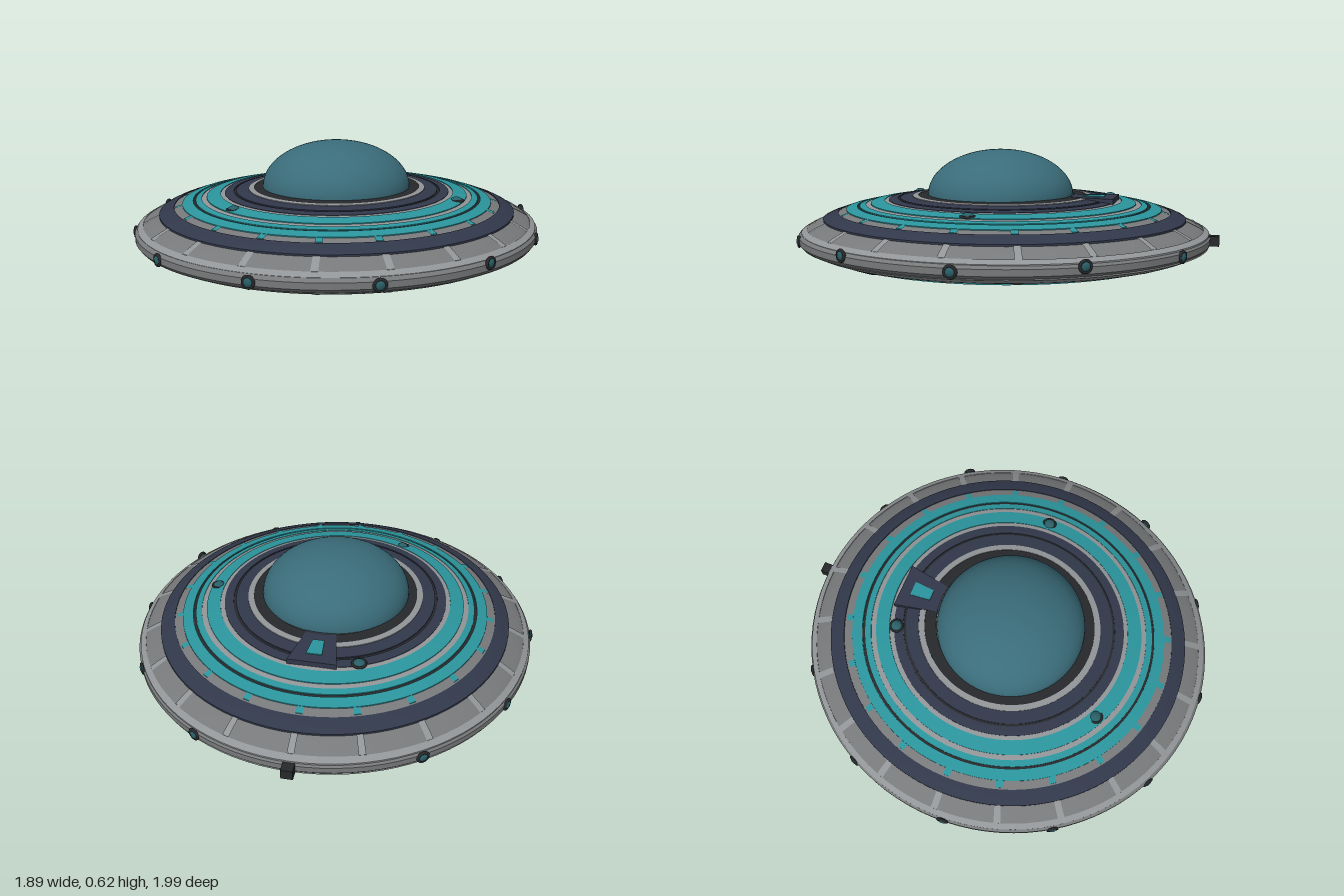
import * as THREE from 'three';
import { toCreasedNormals } from 'three/addons/utils/BufferGeometryUtils.js';

const COLORS = {
  grey: 0x77797a, light: 0x929597, dark: 0x26282b, black: 0x070707, navy: 0x31384a,
  teal: 0x2b959d, dome: 0x3a6c7a, lens: 0x34698c, bead: 0x2a5f68,
};
const STRETCH = 1.037; // the hull is slightly longer than wide
const TAU = Math.PI * 2;

// Hull profile as [radius, height], upper and lower skins
const TOP = [[0.33, 0.397], [0.4, 0.39], [0.52, 0.377], [0.62, 0.36], [0.72, 0.337], [0.8, 0.31], [0.875, 0.274], [0.925, 0.245]];
const BOTTOM = [[0.2, 0.066], [0.44, 0.086], [0.65, 0.115], [0.8, 0.147], [0.875, 0.168], [0.925, 0.192]];

function heightAt(profile, r) {
  for (let i = 1; i < profile.length; i++) {
    const [r0, y0] = profile[i - 1], [r1, y1] = profile[i];
    if (r <= r1) return y0 + (y1 - y0) * (r - r0) / (r1 - r0);
  }
  return profile[profile.length - 1][1];
}

export function createModel() {
  const model = new THREE.Group();
  model.name = 'saucer';
  const mats = {};
  for (const [key, color] of Object.entries(COLORS)) {
    mats[key] = new THREE.MeshStandardMaterial({ color, side: THREE.DoubleSide });
  }

  function add(name, geo, mat, x = 0, y = 0, z = 0) {
    const mesh = new THREE.Mesh(geo, mats[mat]);
    mesh.name = name;
    mesh.position.set(x, y, z);
    model.add(mesh);
    return mesh;
  }

  function lathe(name, pts, mat, z = 0.018, start = 0, length = TAU) {
    const segs = Math.max(2, Math.round(96 * length / TAU));
    const geo = new THREE.LatheGeometry(pts.map(p => new THREE.Vector2(...p)), segs, start, length);
    geo.scale(1, 1, STRETCH);
    return add(name, toCreasedNormals(geo, 0.5), mat, 0, 0, z);
  }

  // Raised plate lying on the upper (side 1) or lower (side -1) skin
  function band(name, side, r0, r1, mat, lift = 0.005, start = 0, length = TAU) {
    const profile = side > 0 ? TOP : BOTTOM;
    const pts = [];
    const sink = 0.012;
    for (let i = 0; i <= 3; i++) {
      const r = r0 + (r1 - r0) * i / 3;
      pts.push([r, heightAt(profile, r) + side * lift]);
    }
    pts.unshift([r0, heightAt(profile, r0) - side * sink]);
    pts.push([r1, heightAt(profile, r1) - side * sink]);
    if (side > 0) pts.reverse();
    return lathe(name, pts, mat, 0.035 - 0.022 * r1, start, length);
  }

  function spokes(name, side, r0, r1, mat, lift, count, width) {
    const w = width / r1;
    for (let i = 0; i < count; i++) {
      band(name, side, r0, r1, mat, lift, i * TAU / count - w / 2, w);
    }
  }

  // Hull body with rounded rim
  lathe('hull', [[0, 0.066], ...BOTTOM, [0.935, 0.205], [0.935, 0.232],
    ...[...TOP].reverse(), [0, 0.397]], 'grey');

  // Upper rings, from the rim inward: inner radius, outer radius, material, lift
  [
    [0.9, 0.925, 'light', 0.003], [0.76, 0.827, 'navy', 0.008], [0.722, 0.76, 'grey', 0.004],
    [0.673, 0.722, 'teal', 0.008], [0.661, 0.673, 'dark', 0.003], [0.633, 0.661, 'teal', 0.007],
    [0.61, 0.633, 'light', 0.004], [0.546, 0.61, 'teal', 0.008], [0.526, 0.546, 'light', 0.005],
    [0.484, 0.526, 'navy', 0.007], [0.473, 0.484, 'dark', 0.003], [0.415, 0.473, 'navy', 0.008],
    [0.388, 0.415, 'light', 0.011], [0.335, 0.388, 'dark', 0.008],
  ].forEach(([r0, r1, mat, lift]) => band('upperRing', 1, r0, r1, mat, lift));
  spokes('rimRib', 1, 0.827, 0.9, 'light', 0.004, 20, 0.03);
  spokes('tealTooth', 1, 0.722, 0.752, 'teal', 0.007, 20, 0.03);

  // Lower rings
  [
    [0.865, 0.925, 'light', 0.003], [0.775, 0.8, 'teal', 0.005], [0.725, 0.775, 'grey', 0.003],
    [0.665, 0.725, 'teal', 0.006], [0.42, 0.665, 'black', 0.003], [0.37, 0.42, 'grey', 0.008],
    [0.335, 0.37, 'teal', 0.006], [0.28, 0.335, 'grey', 0.006], [0.2, 0.28, 'black', 0.003],
  ].forEach(([r0, r1, mat, lift]) => band('lowerRing', -1, r0, r1, mat, lift));
  spokes('lowerRimRib', -1, 0.8, 0.865, 'light', 0.004, 20, 0.03);
  spokes('lowerPanelRib', -1, 0.725, 0.775, 'teal', 0.005, 20, 0.02);

  // Stepped struts across the dark underside (angles from +x toward +z)
  for (const deg of [-13, 25, 89, 145, 240, 290]) {
    const mid = Math.PI / 2 - THREE.MathUtils.degToRad(deg);
    ['grey', 'navy', 'grey', 'navy'].forEach((mat, i) => {
      const r0 = 0.42 + i * 0.061;
      band('undersideStrut', -1, r0, r0 + 0.061, mat, 0.005 + (i % 2) * 0.003, mid - 0.09, 0.18);
    });
  }
  // Dark hatches in the teal underside rings
  for (const deg of [30, 155]) {
    const mid = Math.PI / 2 - THREE.MathUtils.degToRad(deg);
    band('undersideHatch', -1, 0.665, 0.81, 'black', 0.009, mid - 0.085, 0.17);
  }

  // Canopy dome
  const dome = new THREE.SphereGeometry(0.348, 64, 24, 0, TAU, 0, Math.PI / 2);
  dome.scale(1, 0.215 / 0.348, 1);
  add('dome', dome, 'dome', 0, 0.402, 0.034);

  // Lower lens with its short neck
  const lens = new THREE.SphereGeometry(0.21, 48, 16, 0, TAU, Math.PI / 2, Math.PI / 2);
  lens.scale(1, 0.048 / 0.21, 0.85);
  add('lens', lens, 'lens', 0, 0.048, 0.055);
  const lid = new THREE.CylinderGeometry(0.21, 0.21, 0.004, 48);
  lid.scale(1, 1, 0.85);
  add('lensRim', lid, 'dark', 0, 0.049, 0.055);
  add('lensNeck', new THREE.CylinderGeometry(0.1, 0.1, 0.03, 24), 'dark', 0, 0.06, 0.055);

  // Rim lights, each a dark collar with a bead; the rear one is a box
  for (let i = 0; i < 12; i++) {
    if (i === 6) continue;
    const a = THREE.MathUtils.degToRad(3 + 30 * i);
    const light = new THREE.Group();
    light.name = 'rimLight';
    const collar = new THREE.Mesh(new THREE.TorusGeometry(0.022, 0.007, 8, 20), mats.dark);
    collar.name = 'lightCollar';
    const bead = new THREE.Mesh(new THREE.SphereGeometry(0.021, 16, 12), mats.bead);
    bead.name = 'lightBead';
    bead.scale.z = 0.55;
    light.add(collar, bead);
    light.position.set(0.935 * Math.sin(a), [2, 4, 9].includes(i) ? 0.235 : 0.218, 0.018 + 0.935 * STRETCH * Math.cos(a));
    light.rotation.y = a;
    model.add(light);
  }
  add('rearBox', new THREE.BoxGeometry(0.05, 0.045, 0.06), 'dark', 0, 0.218, -0.96);

  // Three beads on the upper rings
  for (const [x, y, z] of [[-0.196, 0.385, -0.47], [0.58, 0.372, 0.012], [-0.26, 0.37, 0.55]]) {
    add('deckBead', new THREE.SphereGeometry(0.027, 20, 14), 'bead', x, y, z).scale.y = 0.65;
    add('deckBeadCollar', new THREE.TorusGeometry(0.029, 0.006, 8, 24), 'dark', x, y, z).rotation.x = Math.PI / 2;
  }

  // Tapered hatch behind the dome, with a teal window
  function plate(name, wBack, wFront, zBack, zFront, y, depth, mat) {
    const shape = new THREE.Shape([[-wFront, -zFront], [wFront, -zFront], [wBack, -zBack], [-wBack, -zBack]]
      .map(p => new THREE.Vector2(...p)));
    const geo = new THREE.ExtrudeGeometry(shape, { depth, bevelEnabled: false });
    geo.rotateX(-Math.PI / 2);
    add(name, geo, mat, 0, y, 0);
  }
  plate('rearHatch', 0.108, 0.066, -0.522, -0.305, 0.37, 0.034, 'navy');
  plate('hatchWindow', 0.035, 0.026, -0.47, -0.372, 0.38, 0.028, 'teal');

  return model;
}
